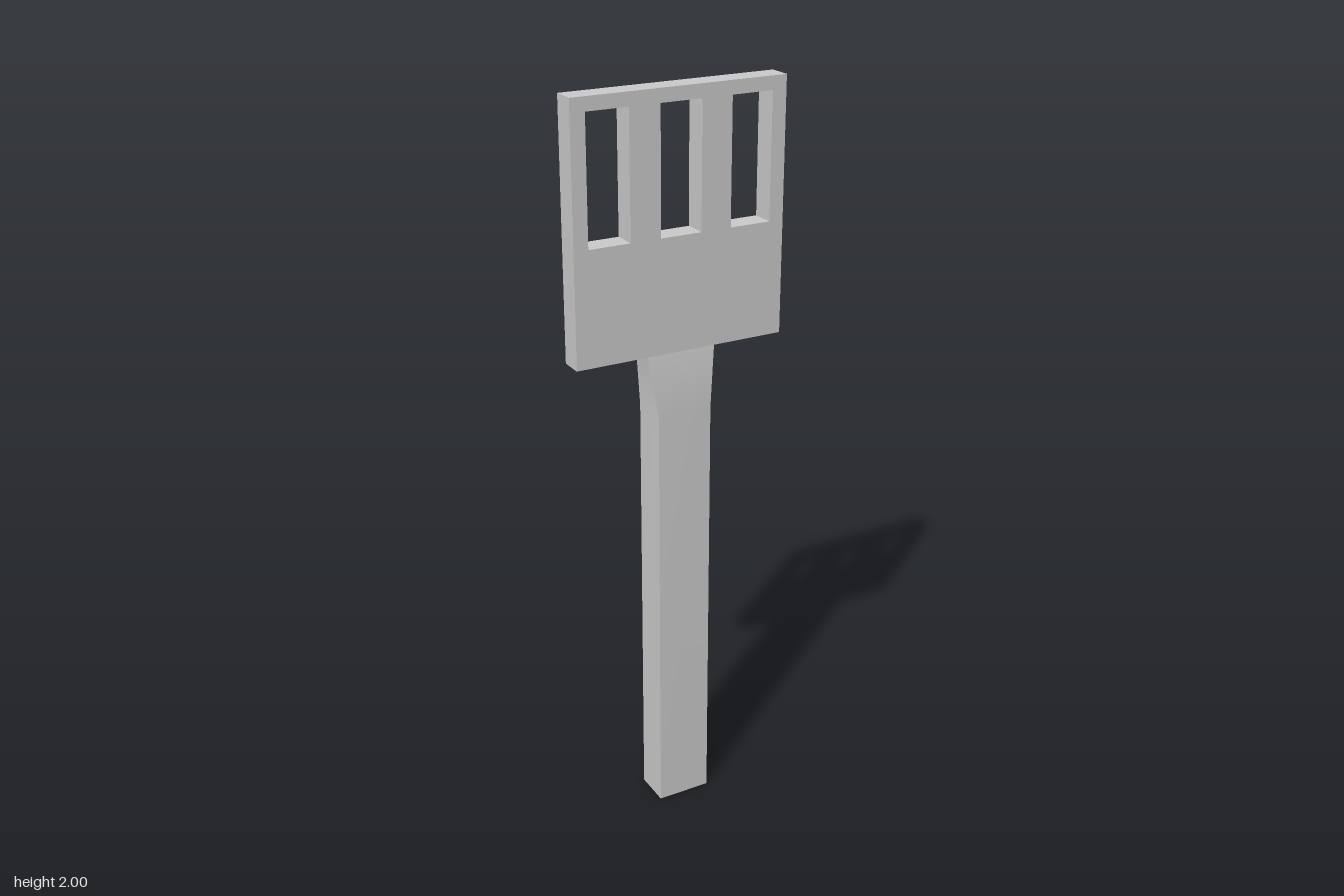
import * as THREE from 'three';

const material = new THREE.MeshStandardMaterial({ color: 0xcccccc });

// Closed rectangle as a list of corners, counter-clockwise
const rect = (x0, y0, x1, y1) => [[x0, y0], [x1, y0], [x1, y1], [x0, y1]]
  .map(([x, y]) => new THREE.Vector2(x, y));

// Flat head with three upright slots
function makeBlade() {
  const thickness = 0.063;
  const shape = new THREE.Shape(rect(-0.29, 1.34, 0.29, 2));
  for (const x of [-0.195, 0, 0.195]) {
    shape.holes.push(new THREE.Path(rect(x - 0.056, 1.64, x + 0.056, 1.965).reverse()));
  }
  const geometry = new THREE.ExtrudeGeometry(shape, { depth: thickness, bevelEnabled: false });
  geometry.translate(0, 0, -thickness / 2);
  const blade = new THREE.Mesh(geometry, material);
  blade.name = 'slottedBlade';
  return blade;
}

// Square-edged handle whose neck widens and thins into the blade
function makeHandle() {
  const levels = [
    { y: 1.34, x: 0.095, z: 0.0315 },
    { y: 1.18, x: 0.075, z: 0.051 },
    { y: 0, x: 0.075, z: 0.051 },
  ];
  const geometry = new THREE.BoxGeometry(2, 2, 2, 1, 2, 1);
  const p = geometry.attributes.position;
  for (let i = 0; i < p.count; i++) {
    const level = levels[1 - Math.round(p.getY(i))];
    p.setXYZ(i, Math.sign(p.getX(i)) * level.x, level.y, Math.sign(p.getZ(i)) * level.z);
  }
  geometry.computeVertexNormals();
  const handle = new THREE.Mesh(geometry, material);
  handle.name = 'handle';
  return handle;
}

export function createModel() {
  const group = new THREE.Group();
  group.name = 'spatula';
  group.add(makeBlade(), makeHandle());
  return group;
}
